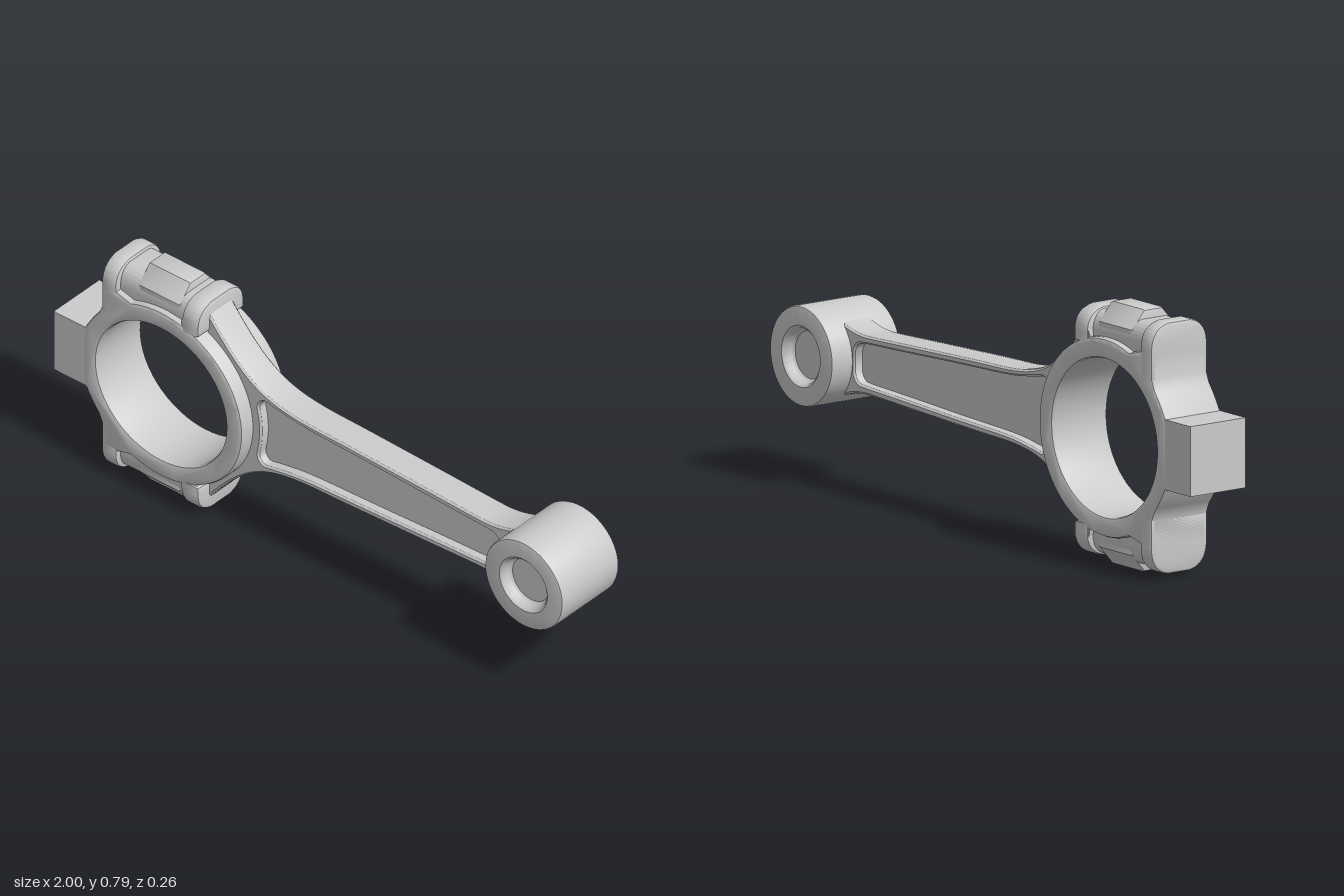
import * as THREE from 'three';
import { toCreasedNormals } from 'three/addons/utils/BufferGeometryUtils.js';

const CY = 0.3975;    // height of the long axis
const BIG_X = -0.584; // big end centre
const PIN_X = 0.847;  // small end centre

const material = new THREE.MeshStandardMaterial({ color: 0xcccccc });

function mesh(name, geometry, crease = 0.6) {
  const m = new THREE.Mesh(toCreasedNormals(geometry, crease), material);
  m.name = name;
  return m;
}

// Extrude symmetric about z = 0; outlines run counter-clockwise, bevel stays inside
function slab(shape, half, bevel, bevelDepth = bevel) {
  const g = new THREE.ExtrudeGeometry(shape, {
    depth: 2 * (half - bevelDepth), bevelEnabled: bevel > 0, bevelSize: bevel,
    bevelThickness: bevelDepth, bevelOffset: -bevel, bevelSegments: 2, curveSegments: 24,
  });
  return g.translate(0, 0, -(half - bevelDepth));
}

// Points on an ellipse round the big end
function arc(rx, ry, from, to, n) {
  return Array.from({ length: n + 1 }, (_, i) => {
    const a = THREE.MathUtils.degToRad(from + (to - from) * i / n);
    return new THREE.Vector2(BIG_X + rx * Math.cos(a), CY + ry * Math.sin(a));
  });
}

const flip = (pts) => pts.map((p) => new THREE.Vector2(p.x, 2 * CY - p.y)).reverse();
const curve = (pts, n) =>
  new THREE.SplineCurve(pts.map((p) => new THREE.Vector2(...p))).getPoints(n);

// Arched cross-section (z, y) swept along x from x0 to x1
function arch(name, x0, x1, w, y0, shoulder, top, flat, bevel, round = true) {
  const s = new THREE.Shape();
  s.moveTo(-w, y0).lineTo(w, y0).lineTo(w, shoulder);
  if (round) s.quadraticCurveTo(w, top - 0.012, flat, top);
  else s.lineTo(flat, top);
  s.lineTo(-flat, top);
  if (round) s.quadraticCurveTo(-w, top - 0.012, -w, shoulder);
  else s.lineTo(-w, shoulder);
  s.closePath();
  const g = slab(s, (x1 - x0) / 2, bevel).rotateY(Math.PI / 2);
  return mesh(name, g.translate((x0 + x1) / 2, 0, 0));
}

// Bolt boss on the upper side of the big end
function boltBoss(name) {
  const g = new THREE.Group();
  g.name = name;
  g.add(arch('capCollar', -0.815, -0.757, 0.105, 0.6, 0.695, 0.778, 0.04, 0.01));
  g.add(arch('rodCollar', -0.505, -0.437, 0.105, 0.672, 0.7, 0.775, 0.04, 0.012));
  g.add(arch('boltShank', -0.77, -0.49, 0.084, 0.66, 0.7, 0.766, 0.045, 0));
  g.add(arch('boltPad', -0.69, -0.527, 0.082, 0.67, 0.738, 0.793, 0.034, 0.008, false));
  // rounded foot under the rod collar
  const foot = new THREE.CylinderGeometry(0.034, 0.034, 0.198, 20).rotateX(Math.PI / 2);
  g.add(mesh('collarFoot', foot.translate(-0.474, 0.694, 0)));
  return g;
}

// Big end ring with squared cap corners
function bigEnd() {
  const upper = [
    ...arc(0.316, 0.3, 0, 112, 28),
    new THREE.Vector2(-0.757, 0.69), new THREE.Vector2(-0.815, 0.69),
    new THREE.Vector2(-0.815, 0.612),
    ...curve([[-0.828, 0.582], [-0.85, 0.553], [-0.868, 0.525], [-0.885, 0.495]], 6),
  ];
  const shape = new THREE.Shape([...upper, ...flip(upper).slice(0, -1)]);
  shape.holes.push(new THREE.Path(arc(0.252, 0.238, 0, -354, 59)));
  return mesh('bigEndRing', slab(shape, 0.105, 0.012));
}

// I-section beam: flanged frame with a thin web
function beam() {
  const g = new THREE.Group();
  g.name = 'beam';
  const edge = curve([[-0.452, 0.752], [-0.41, 0.698], [-0.34, 0.622], [-0.27, 0.567],
    [-0.19, 0.532], [-0.08, 0.514], [0.1, 0.508], [0.4, 0.497], [0.6, 0.489],
    [0.66, 0.49], [0.71, 0.499], [0.76, 0.515]], 44);
  const inner = arc(0.29, 0.275, -62, 62, 28);
  const outline = [...inner, ...edge, ...flip(edge)].reverse();

  const top = curve([[-0.243, 0.494], [-0.225, 0.51], [-0.18, 0.503], [-0.06, 0.487],
    [0.2, 0.477], [0.45, 0.466], [0.63, 0.459], [0.67, 0.452], [0.685, 0.43]], 36);
  const pocket = [...arc(0.35, 0.34, -14, 14, 10), ...top, ...flip(top)];

  const frame = new THREE.Shape(outline);
  frame.holes.push(new THREE.Path(pocket));
  g.add(mesh('beamFlanges', slab(frame, 0.054, 0.008, 0.02)));

  const webTop = [[-0.32, 0.53], [-0.21, 0.522], [-0.1, 0.503], [0.69, 0.468]]
    .map((p) => new THREE.Vector2(...p));
  const web = [...webTop, ...flip(webTop), ...arc(0.3, 0.3, -20, 20, 12)].reverse();
  g.add(mesh('beamWeb', slab(new THREE.Shape(web), 0.024, 0)));
  return g;
}

// Small end barrel with a shallow dished recess on both faces
function smallEnd() {
  const half = [[0, 0.094], [0.072, 0.094], [0.079, 0.1], [0.085, 0.122], [0.093, 0.129],
    [0.143, 0.129], [0.149, 0.127], [0.152, 0.12]];
  const profile = [...half.map(([r, z]) => [r, -z]), ...half.slice().reverse()];
  const g = new THREE.LatheGeometry(profile.map((p) => new THREE.Vector2(...p)), 56);
  return mesh('smallEnd', g.rotateX(Math.PI / 2).translate(PIN_X, CY, 0));
}

export function createModel() {
  const model = new THREE.Group();
  model.name = 'connectingRod';

  const tab = new THREE.BoxGeometry(0.13, 0.212, 0.206).translate(-0.935, CY, 0);
  model.add(bigEnd(), mesh('balanceTab', tab), beam(), smallEnd());

  const lower = boltBoss('lowerBoltBoss');
  lower.rotation.x = Math.PI;
  lower.position.y = 2 * CY;
  model.add(boltBoss('upperBoltBoss'), lower);
  return model;
}
